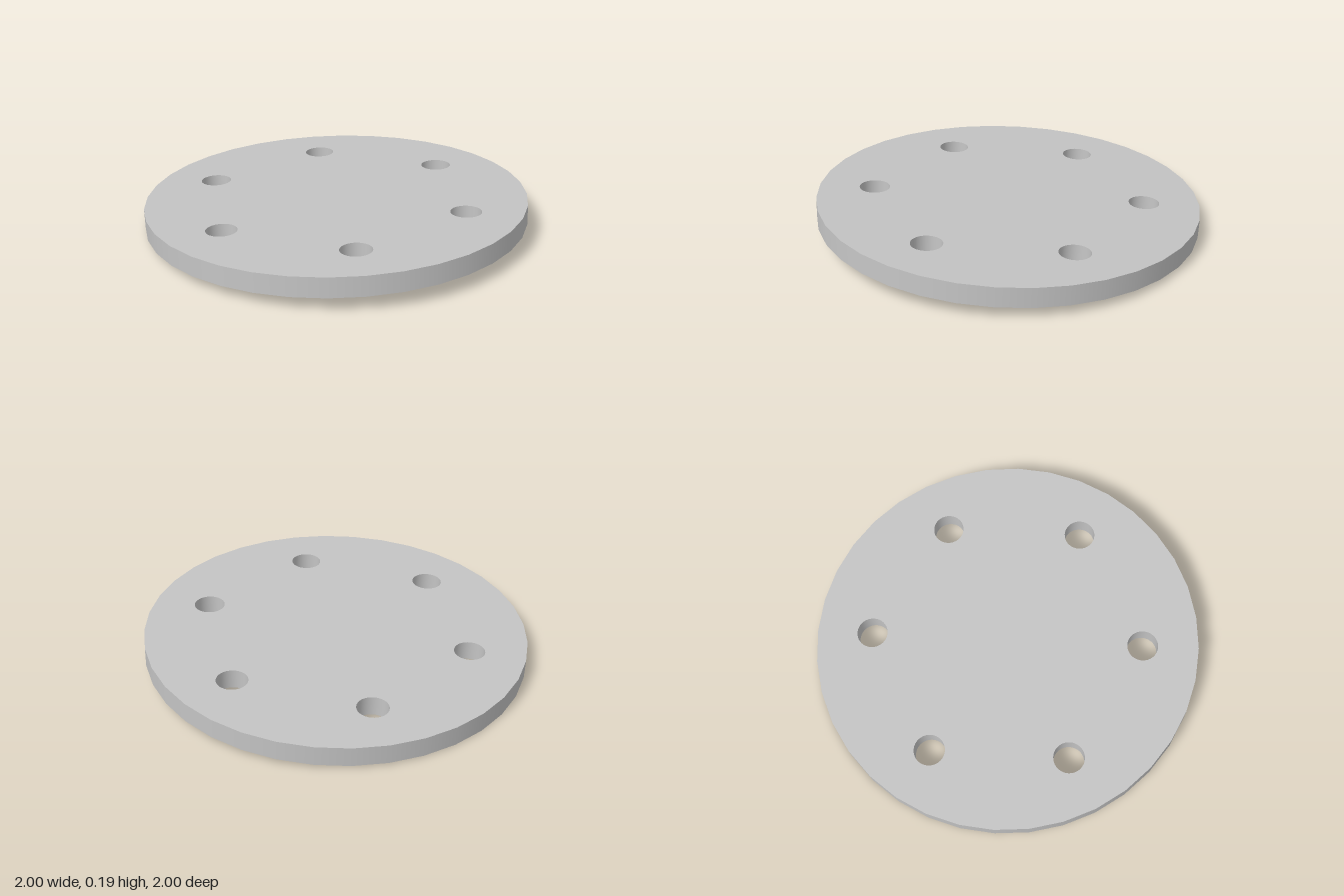
import * as THREE from 'three';

const RADIUS = 1, HEIGHT = 0.103, SIDES = 36;
const HOLE_RADIUS = 0.08, HOLE_RING = 0.71, HOLES = 6;
const TILT = 0.0415;

// Points of a regular polygon standing in for a circle
function circlePoints(cx, cy, r) {
  return Array.from({ length: SIDES }, (_, i) => {
    const a = (i / SIDES) * Math.PI * 2;
    return new THREE.Vector2(cx + r * Math.cos(a), cy + r * Math.sin(a));
  });
}

export function createModel() {
  const grey = new THREE.MeshStandardMaterial({ color: 0xc4c4c4, side: THREE.DoubleSide });
  grey.name = 'light grey';

  const cover = new THREE.Group();
  cover.name = 'cover';
  const add = (name, geometry, x = 0, y = 0, z = 0) => {
    const mesh = new THREE.Mesh(geometry, grey);
    mesh.name = name;
    mesh.position.set(x, y, z);
    cover.add(mesh);
  };

  // Top plate pierced by a ring of holes, with an open tube hanging below each
  const plate = new THREE.Shape(circlePoints(0, 0, RADIUS));
  const tube = new THREE.CylinderGeometry(HOLE_RADIUS, HOLE_RADIUS, HEIGHT, SIDES, 1, true);
  for (let i = 0; i < HOLES; i++) {
    const a = (i / HOLES) * Math.PI * 2;
    const x = HOLE_RING * Math.cos(a), z = HOLE_RING * Math.sin(a);
    plate.holes.push(new THREE.Path(circlePoints(x, -z, HOLE_RADIUS).reverse()));
    add('holeTube', tube, x, 0, z);
  }
  add('topPlate', new THREE.ShapeGeometry(plate).rotateX(-Math.PI / 2), 0, HEIGHT / 2, 0);

  // Outer wall, open underneath
  add('rimWall', new THREE.CylinderGeometry(RADIUS, RADIUS, HEIGHT, SIDES, 1, true));

  // The whole cover leans back slightly, with its rear edge on the ground
  cover.rotation.x = -TILT;
  cover.position.y = Math.sin(TILT) * RADIUS + Math.cos(TILT) * HEIGHT / 2;

  const model = new THREE.Group();
  model.name = 'tiltedCover';
  model.add(cover);
  return model;
}
